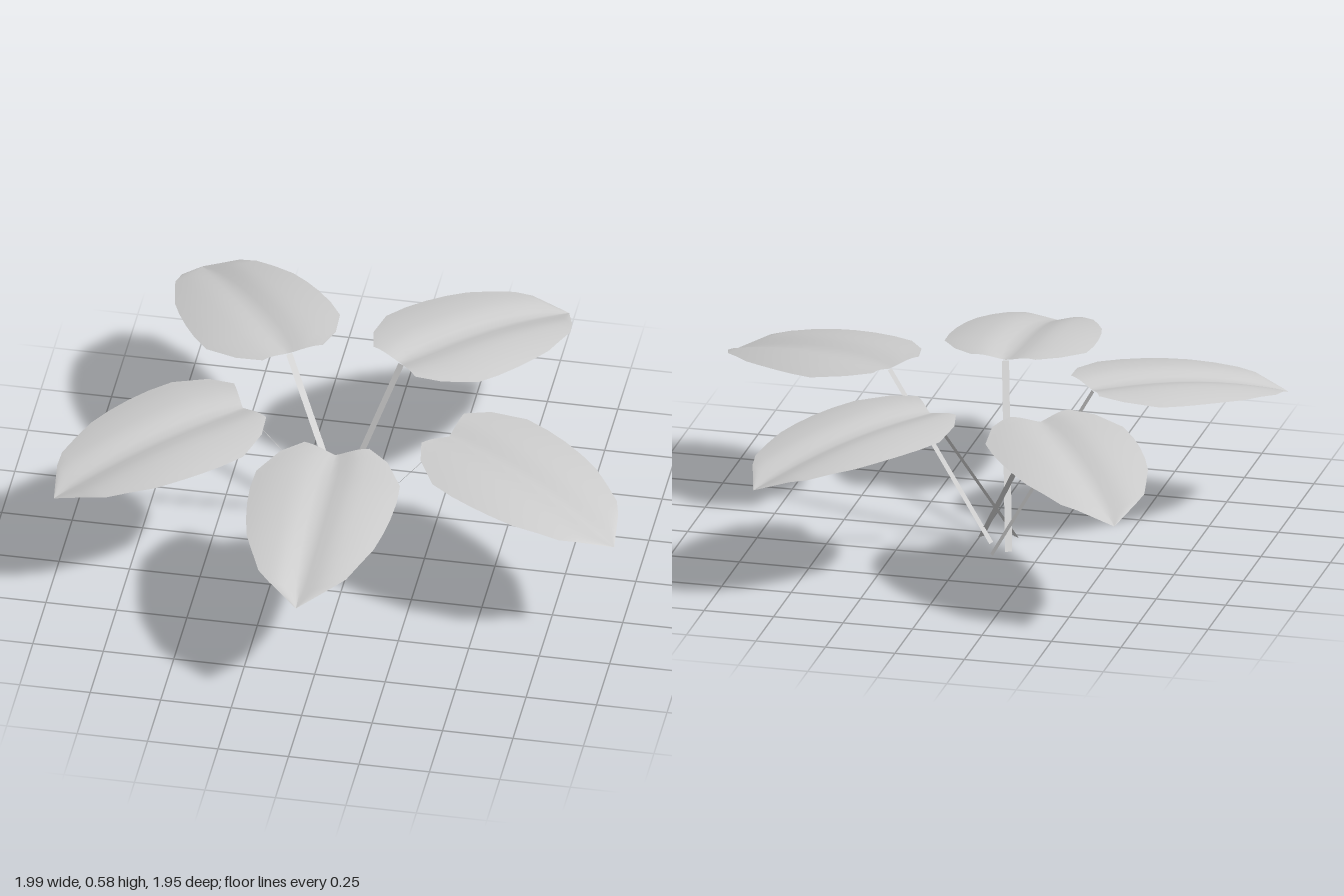
import * as THREE from 'three';

const material = new THREE.MeshStandardMaterial({ color: 0xcccccc, side: THREE.DoubleSide });
const BASE_Y = 0.56;

// Each plant arm in plan (x, z): leaf base, leaf tip, foot of the stem
const ARMS = [
  { name: 'front', base: [-0.025, 0.22], tip: [-0.025, 0.975], foot: [-0.135, -0.17] },
  { name: 'left', base: [0.345, 0.037], tip: [0.995, 0.41], foot: [-0.055, -0.1] },
  { name: 'right', base: [-0.395, 0], tip: [-0.984, 0.49], foot: [-0.085, -0.215] },
  { name: 'backRight', base: [-0.295, -0.35], tip: [-0.727, -0.985], foot: [-0.005, -0.045] },
  { name: 'backLeft', base: [0.1, -0.36], tip: [0.594, -0.94], foot: [-0.125, -0.02] },
];

// Leaf rows: midrib distance, edge distance, half width
const ROWS = [
  [0, -0.03, 0.115], [0.05, 0.03, 0.19], [0.14, 0.14, 0.255], [0.23, 0.23, 0.26],
  [0.315, 0.315, 0.255], [0.4, 0.4, 0.243], [0.48, 0.48, 0.225], [0.56, 0.56, 0.19],
  [0.635, 0.635, 0.155], [0.685, 0.68, 0.11], [0.755, 0.755, 0],
];

// Drooping length, sunken midrib and gently falling edges
function leafHeight(u, v) {
  const droop = 0.125 * Math.pow(Math.max(v, 0) / 0.755, 2.2);
  const fold = 0.025 * THREE.MathUtils.smoothstep(u, -0.03, 0.1);
  const edge = 0.02 * Math.pow(Math.max(u - 0.1, 0) / 0.155, 2);
  return fold - droop - edge;
}

function grid(rows, cols, point) {
  const positions = [], index = [];
  for (let r = 0; r <= rows; r++) {
    for (let c = 0; c <= cols; c++) positions.push(...point(r, c));
  }
  for (let r = 0; r < rows; r++) {
    for (let c = 0; c < cols; c++) {
      const a = r * (cols + 1) + c, b = a + cols + 1;
      index.push(a, b, a + 1, b, b + 1, a + 1);
    }
  }
  const geometry = new THREE.BufferGeometry();
  geometry.setAttribute('position', new THREE.Float32BufferAttribute(positions, 3));
  geometry.setIndex(index);
  geometry.computeVertexNormals();
  return geometry;
}

function leafGeometry() {
  const cols = 16;
  return grid(ROWS.length - 1, cols, (r, c) => {
    const [mid, edge, half] = ROWS[r];
    const s = (c / cols) * 2 - 1;
    const x = s * half, z = THREE.MathUtils.lerp(mid, edge, Math.abs(s));
    return [x, leafHeight(Math.abs(x), z), z];
  });
}

// Flat ribbon stem, level across its width
function stemGeometry(foot, top) {
  const along = new THREE.Vector3().subVectors(top, foot);
  const across = new THREE.Vector3(along.z, 0, -along.x).setLength(0.0125);
  return grid(1, 1, (r, c) =>
    foot.clone().addScaledVector(along, r).addScaledVector(across, c * 2 - 1).toArray());
}

export function createModel() {
  const model = new THREE.Group();
  model.name = 'plant';
  const leafShape = leafGeometry();

  for (const { name, base, tip, foot } of ARMS) {
    const top = new THREE.Vector3(base[0], BASE_Y, base[1]);

    const leaf = new THREE.Mesh(leafShape, material);
    leaf.name = name + 'Leaf';
    leaf.position.copy(top);
    leaf.rotation.y = Math.atan2(tip[0] - base[0], tip[1] - base[1]);

    const stem = new THREE.Mesh(stemGeometry(new THREE.Vector3(foot[0], 0, foot[1]), top), material);
    stem.name = name + 'Stem';
    model.add(leaf, stem);
  }
  return model;
}
